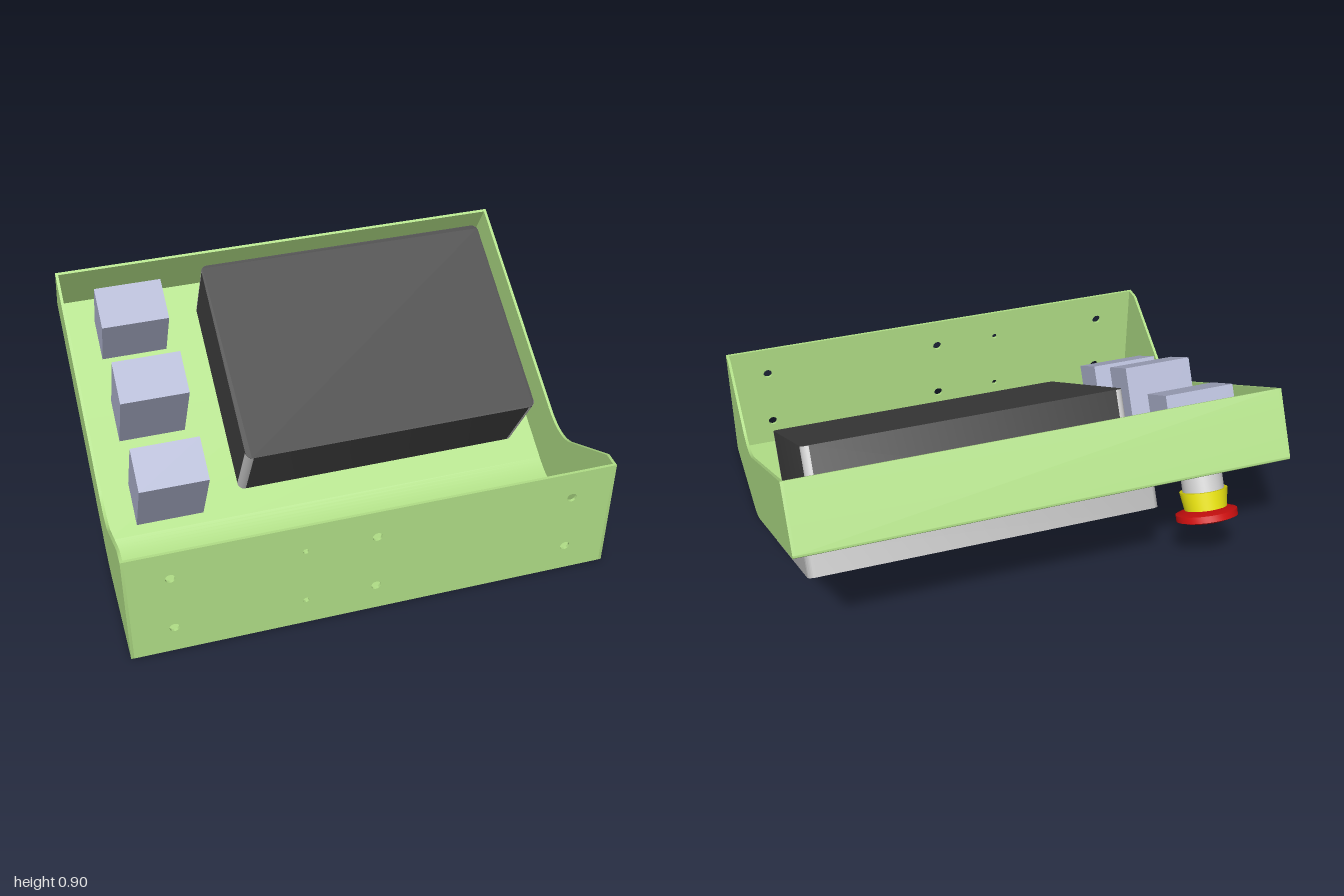
import * as THREE from 'three';
import { toCreasedNormals } from 'three/addons/utils/BufferGeometryUtils.js';

const mat = (color) => new THREE.MeshStandardMaterial({ color, side: THREE.DoubleSide });
const green = mat(0xb0de86), dark = mat(0x404040), grey = mat(0xb4b4b4), silver = mat(0xcccccc);
const blue = mat(0xb0b5d0), red = mat(0xd01010), yellow = mat(0xe6e010), go = mat(0x10a030);

const TILT = Math.PI / 6, T = 0.012, WALL = 0.287;
const C = Math.cos(TILT), S = Math.sin(TILT);
const TOP_Z = -0.8, TOP_Y = 0.64;
// Point on the side profile: s runs down the sloped panel, h is the height off it
const onSlope = (s, h) => [TOP_Z + s * C + h * S, TOP_Y - s * S + h * C];

function add(parent, name, geometry, material, x = 0, y = 0, z = 0) {
  const mesh = new THREE.Mesh(geometry, material);
  mesh.name = name;
  mesh.position.set(x, y, z);
  parent.add(mesh);
  return mesh;
}

function extrude(shape, depth) {
  const g = new THREE.ExtrudeGeometry(shape, { depth, bevelEnabled: false, curveSegments: 12 });
  return toCreasedNormals(g, 0.6);
}

// Extrudes a (z, y) profile along x, centred
const extrudeAcross = (shape, width) =>
  extrude(shape, width).rotateY(-Math.PI / 2).translate(width / 2, 0, 0);

function circleHole(x, y, r) {
  const p = new THREE.Path();
  p.absarc(x, y, r, 0, Math.PI * 2, true);
  return p;
}

// Slab with rounded corners, standing on y = 0
function roundedSlab(w, d, h, r) {
  const s = new THREE.Shape(), a = w / 2, b = d / 2;
  s.absarc(a - r, b - r, r, 0, Math.PI / 2);
  s.absarc(-a + r, b - r, r, Math.PI / 2, Math.PI);
  s.absarc(-a + r, -b + r, r, Math.PI, Math.PI * 1.5);
  s.absarc(a - r, -b + r, r, Math.PI * 1.5, Math.PI * 2);
  return extrude(s, h).rotateX(-Math.PI / 2);
}

const lathe = (pts) =>
  toCreasedNormals(new THREE.LatheGeometry(pts.map((p) => new THREE.Vector2(...p)), 40), 0.6);

function buildHousing() {
  const housing = new THREE.Group();
  housing.name = 'housing';

  // Side walls
  const side = new THREE.Shape();
  side.moveTo(0.82, 0.015);
  side.quadraticCurveTo(0.83, 0.015, 0.83, 0.025);
  side.lineTo(0.83, 0.54);
  side.lineTo(0.76, 0.54);
  side.lineTo(0.46, 0.365);
  side.quadraticCurveTo(0.355, 0.304, ...onSlope(1.02, WALL));
  side.lineTo(...onSlope(0, WALL));
  side.lineTo(...onSlope(0, 0.012));
  side.quadraticCurveTo(...onSlope(0, 0), ...onSlope(0.012, 0));
  side.lineTo(...onSlope(1.15, 0));
  side.quadraticCurveTo(0.283, 0.015, 0.37, 0.015);
  for (const sx of [-1, 1])
    add(housing, sx > 0 ? 'leftWall' : 'rightWall', extrudeAcross(side, T), green, sx * (1 - T / 2));

  // Sloped panel with its bend at the floor and the upper end wall
  const strip = new THREE.Shape();
  strip.moveTo(0.37, 0.015);
  strip.lineTo(0.37, 0.015 + T);
  strip.quadraticCurveTo(0.286, 0.015 + T, ...onSlope(1.15, T));
  strip.lineTo(...onSlope(T, T));
  strip.lineTo(...onSlope(T, WALL));
  strip.lineTo(...onSlope(0, WALL));
  strip.lineTo(...onSlope(0, 0.012));
  strip.quadraticCurveTo(...onSlope(0, 0), ...onSlope(0.012, 0));
  strip.lineTo(...onSlope(1.15, 0));
  strip.quadraticCurveTo(0.283, 0.015, 0.37, 0.015);
  add(housing, 'slopedPanel', extrudeAcross(strip, 2 - 2 * T), green);

  // Floor with a keyed hole (shape y is -z)
  const floor = new THREE.Shape();
  floor.moveTo(-0.988, -0.82);
  floor.lineTo(0.988, -0.82);
  floor.lineTo(0.988, -0.37);
  floor.lineTo(-0.988, -0.37);
  const key = new THREE.Path();
  key.moveTo(-0.69, -0.54);
  key.lineTo(-0.72, -0.54);
  key.absarc(-0.705, -0.625, 0.075, Math.PI / 2 + 0.2, Math.PI * 2.5 - 0.2, false);
  key.closePath();
  floor.holes.push(key);
  add(housing, 'floor', extrude(floor, T).rotateX(-Math.PI / 2), green, 0, 0.015);

  // Front wall with mounting holes
  const front = new THREE.Shape();
  front.moveTo(-0.988, 0.02);
  front.lineTo(0.988, 0.02);
  front.lineTo(0.988, 0.54);
  front.lineTo(-0.988, 0.54);
  for (const [x, r] of [[-0.82, 0.02], [-0.29, 0.012], [0, 0.02], [0.82, 0.02]])
    for (const y of [0.145, 0.41]) front.holes.push(circleHole(x, y, r));
  add(housing, 'frontWall', extrude(front, T), green, 0, 0, 0.83 - T);
  return housing;
}

function buildDisplay() {
  const display = new THREE.Group();
  display.name = 'display';
  // Outer screen under the panel
  add(display, 'screenBezel', roundedSlab(1.4, 1.03, 0.095, 0.03), grey, 0.25, -0.095, 0.582);
  // Enclosure inside the tray, with pale rounded corners
  const w = 1.28, d = 0.91, r = 0.03, h = 0.373, cx = 0.25, cz = 0.58;
  add(display, 'displayEnclosure', roundedSlab(w, d, h, r), dark, cx, T, cz);
  for (const sx of [-1, 1])
    for (const sz of [-1, 1]) {
      const start = sx > 0 ? (sz > 0 ? 0 : Math.PI / 2) : (sz > 0 ? Math.PI * 1.5 : Math.PI);
      const corner = new THREE.CylinderGeometry(r + 0.001, r + 0.001, h - 0.002, 10, 1, true, start, Math.PI / 2);
      add(display, 'enclosureCorner', corner, silver, cx + sx * (w / 2 - r), T + h / 2, cz + sz * (d / 2 - r));
    }
  return display;
}

function buildControls() {
  const controls = new THREE.Group();
  controls.name = 'controls';
  const x = -0.708;
  // Contact blocks inside the tray
  for (const [s, top] of [[0.22, 0.325], [0.62, 0.427], [1.01, 0.427]])
    add(controls, 'contactBlock', new THREE.BoxGeometry(0.29, top - T, 0.192), blue, x, (top + T) / 2, s);

  // Emergency stop: collar, yellow body, red mushroom head
  add(controls, 'stopCollar', lathe([[0.085, -0.1], [0.085, 0]]), silver, x, 0, 0.223);
  add(controls, 'stopBody', lathe([[0, -0.175], [0.086, -0.175], [0.098, -0.09], [0, -0.09]]), yellow, x, 0, 0.223);
  add(controls, 'stopHead', lathe([
    [0, -0.228], [0.05, -0.225], [0.095, -0.217], [0.126, -0.207],
    [0.126, -0.18], [0.085, -0.165], [0, -0.165],
  ]), red, x, 0, 0.223);

  // Push buttons: silver ring with a coloured cap
  for (const [s, cap, name] of [[0.62, red, 'redButton'], [1.01, go, 'greenButton']]) {
    add(controls, name + 'Ring', lathe([[0.08, -0.07], [0.085, -0.08], [0.093, -0.075], [0.095, 0]]), silver, x, 0, s);
    add(controls, name, lathe([[0, -0.086], [0.075, -0.086], [0.082, -0.08], [0.082, -0.06]]), cap, x, 0, s);
  }
  return controls;
}

export function createModel() {
  const model = new THREE.Group();
  model.name = 'controlBox';
  // Parts on the slope share one tilted frame
  const slope = new THREE.Group();
  slope.name = 'slopeParts';
  slope.position.set(0, TOP_Y, TOP_Z);
  slope.rotation.x = TILT;
  slope.add(buildDisplay(), buildControls());
  model.add(buildHousing(), slope);
  return model;
}
